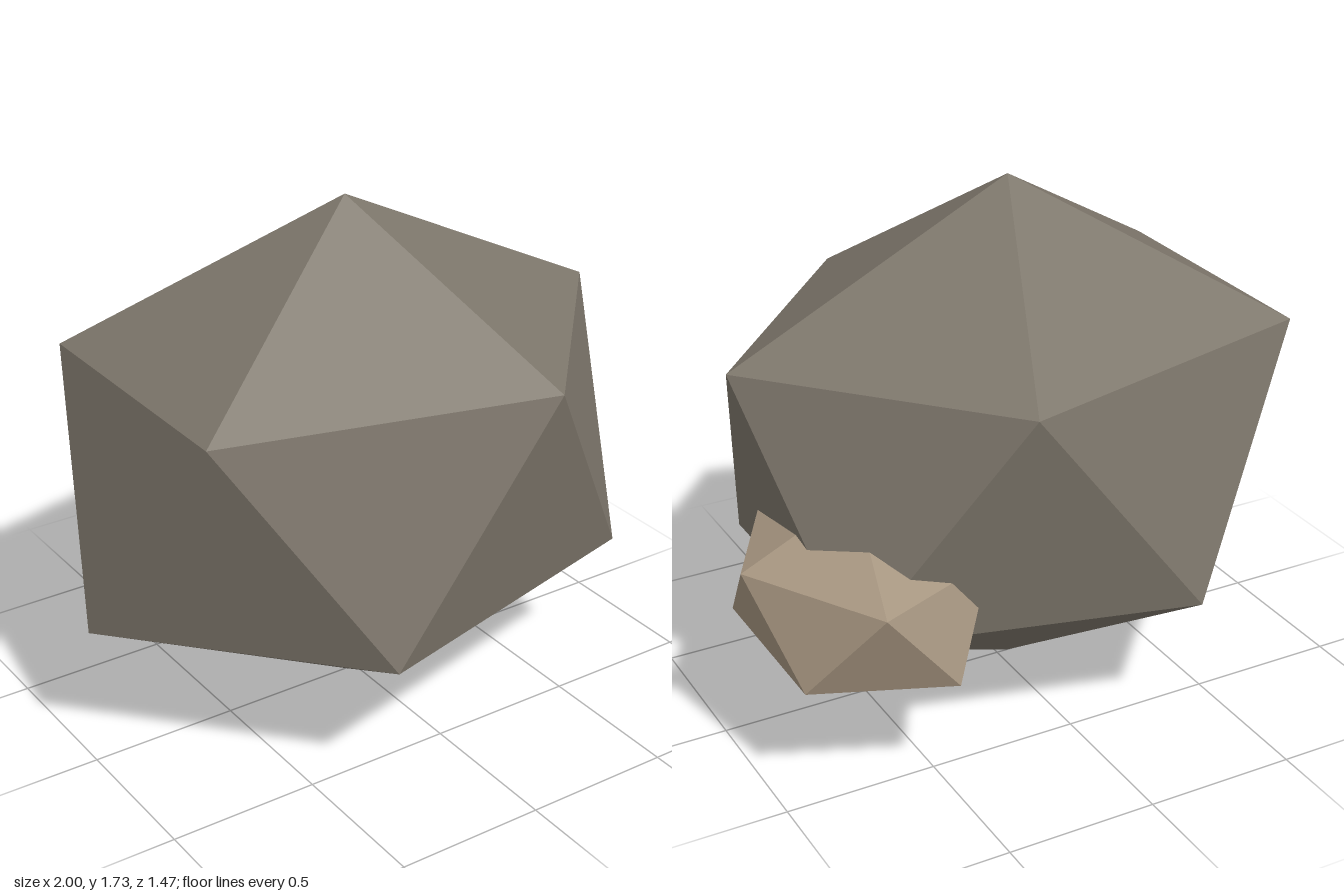
import * as THREE from 'three';

// Icosahedron standing on one corner, with an upper-ring corner facing +x
function rock(name, material, radii, position) {
  const geometry = new THREE.IcosahedronGeometry(1, 0);
  geometry.rotateX(-Math.atan((1 + Math.sqrt(5)) / 2));
  geometry.rotateY(Math.PI / 2);
  geometry.scale(...radii);
  geometry.computeVertexNormals();
  const mesh = new THREE.Mesh(geometry, material);
  mesh.name = name;
  mesh.position.set(...position);
  return mesh;
}

export function createModel() {
  const group = new THREE.Group();
  group.name = 'rocks';

  const greyStone = new THREE.MeshStandardMaterial({ color: 0x7d766b });
  greyStone.name = 'grey stone';
  const tanStone = new THREE.MeshStandardMaterial({ color: 0xa69580 });
  tanStone.name = 'tan stone';
  greyStone.flatShading = tanStone.flatShading = true;

  // Main boulder, stretched sideways
  group.add(rock('boulder', greyStone, [1.076, 0.863, 0.863], [-0.037, 0.863, 0]));
  // Smaller stone sunk into its back left side
  group.add(rock('smallStone', tanStone, [0.431, 0.324, 0.547], [0.612, 0.545, -0.215]));

  return group;
}
